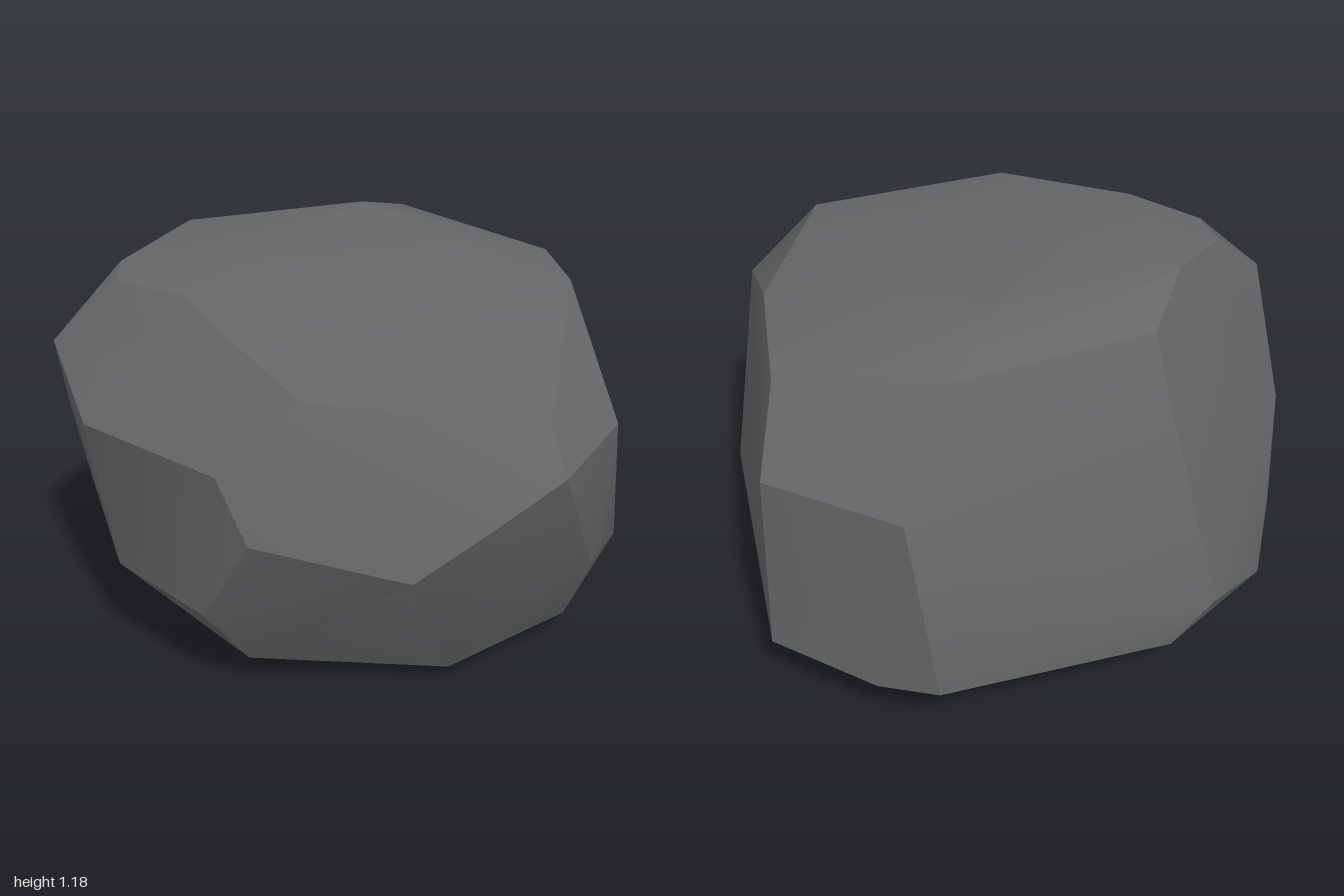
import * as THREE from 'three';
import { ConvexGeometry } from 'three/addons/geometries/ConvexGeometry.js';
import { toCreasedNormals } from 'three/addons/utils/BufferGeometryUtils.js';

// Corners of the boulder, grouped by region
const corners = {
  topFace: [
    [0.91, 0.925, 0.1], [0.51, 1.01, 0.64], [-0.09, 1.135, 0.635], [-0.36, 1.185, -0.25], [0.35, 1.04, -0.54],
  ],
  topBevel: [
    [-0.34, 1.115, 0.695], [-0.48, 1.125, 0.61], [-0.57, 1.175, 0.3], [-0.67, 1.09, 0.08],
    [-0.47, 1.1, -0.52], [0, 1, -0.78],
  ],
  frontSide: [
    [-0.14, 0.79, 0.95], [0.41, 0.81, 0.85], [0.31, 0.32, 0.85], [-0.05, 0.35, 0.92],
    [0.51, 0.63, 0.82], [0.83, 0.55, 0.51], [-0.46, 0.93, 0.87],
  ],
  leftSide: [
    [1, 0.81, 0.12], [0.93, 0.69, 0.32], [0.91, 0.43, -0.1], [0.85, 0.81, -0.24], [0.65, 0.26, -0.5],
  ],
  backSide: [
    [-0.12, 0.79, -0.93], [-0.14, 0.22, -0.96], [-0.55, 0.8, -0.78], [-0.66, 0.24, -0.76], [-0.48, 0.2, -0.84],
  ],
  rightSide: [
    [-0.75, 0.92, 0.06], [-1, 0.31, 0.05], [-0.94, 0.17, -0.07], [-0.9, 0.13, 0.43],
    [-0.77, 0.25, 0.64], [-0.69, 0.58, 0.73],
  ],
  underside: [
    [-0.04, 0, -0.11], [0.34, 0.035, -0.63], [0.69, 0.08, -0.24], [0.66, 0.06, 0.22],
    [0.32, 0.12, 0.71], [-0.03, 0.14, 0.71], [-0.73, 0.09, 0.53],
  ],
};

export function createModel() {
  const group = new THREE.Group();
  group.name = 'rock';
  const stone = new THREE.MeshStandardMaterial({ color: 0x666668 });
  stone.name = 'dark grey stone';

  // Convex hull: shallow edges are smooth, steep edges stay crisp
  const points = Object.values(corners).flat().map((p) => new THREE.Vector3(...p));
  const boulder = new THREE.Mesh(toCreasedNormals(new ConvexGeometry(points), 0.5), stone);
  boulder.name = 'boulder';
  group.add(boulder);
  return group;
}
